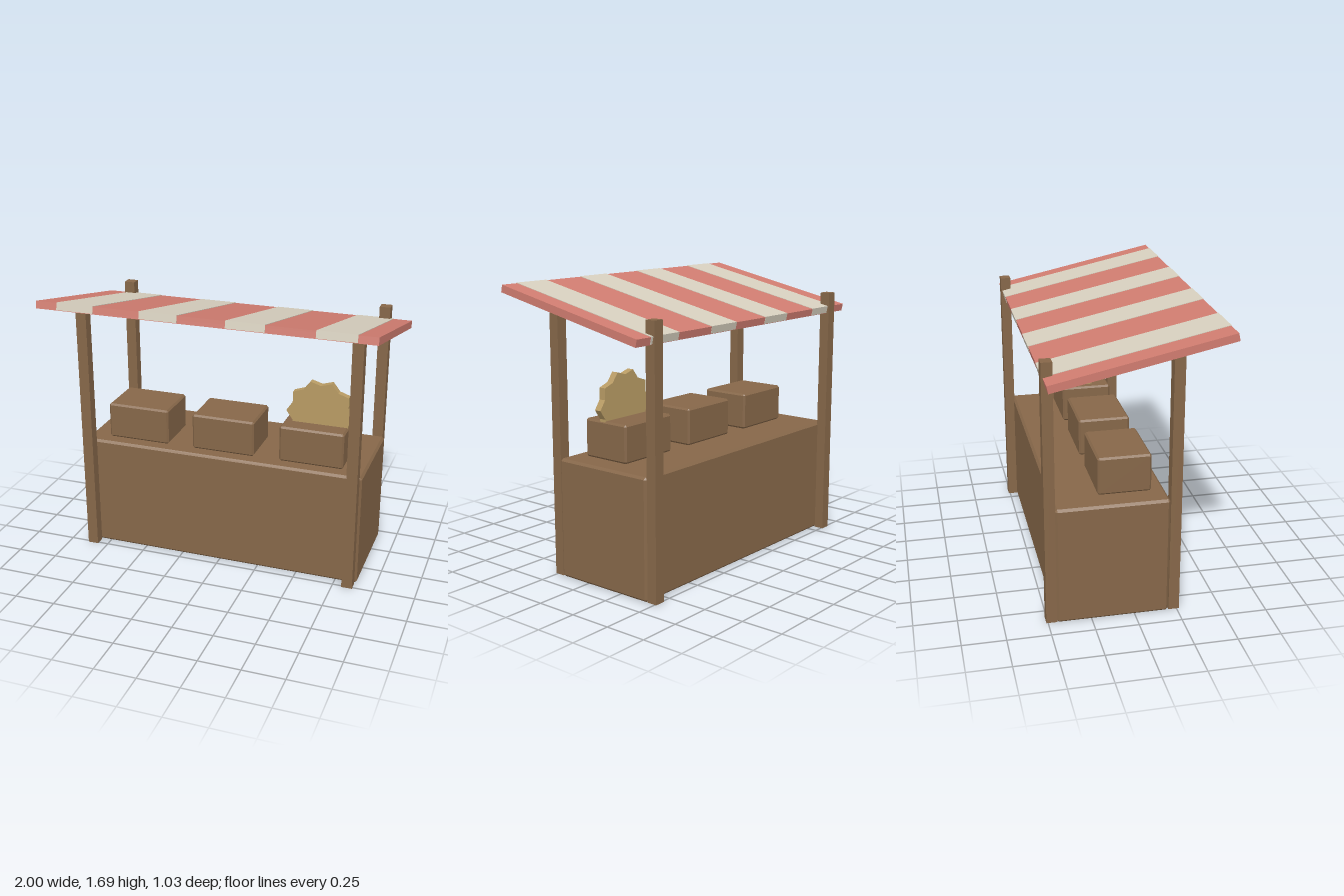
import * as THREE from 'three';
import { ConvexGeometry } from 'three/addons/geometries/ConvexGeometry.js';

function material(name, color) {
  const m = new THREE.MeshStandardMaterial({ color });
  m.name = name;
  return m;
}

// Box with chamfered edges: each face inset by c
function chamferBox(w, h, d, c) {
  const points = [];
  for (const sx of [-1, 1]) for (const sy of [-1, 1]) for (const sz of [-1, 1]) {
    const x = w / 2, y = h / 2, z = d / 2;
    points.push(
      new THREE.Vector3(sx * x, sy * (y - c), sz * (z - c)),
      new THREE.Vector3(sx * (x - c), sy * y, sz * (z - c)),
      new THREE.Vector3(sx * (x - c), sy * (y - c), sz * z));
  }
  return new ConvexGeometry(points);
}

export function createModel() {
  const wood = material('wood', 0x866749);
  const red = material('red cloth', 0xd07c70);
  const cream = material('cream cloth', 0xd6cfbe);
  const gold = material('gold', 0xb89b64);

  const model = new THREE.Group();
  model.name = 'marketStall';
  const add = (parent, name, geometry, mat, x, y, z) => {
    const mesh = new THREE.Mesh(geometry, mat);
    mesh.name = name;
    mesh.position.set(x, y, z);
    parent.add(mesh);
    return mesh;
  };

  // Counter and the crates on it
  add(model, 'counter', chamferBox(1.776, 0.71, 0.65, 0.014), wood, -0.003, 0.355, -0.126);
  for (const x of [-0.559, -0.003, 0.553])
    add(model, 'crate', chamferBox(0.396, 0.224, 0.308, 0.011), wood, x, 0.822, -0.034);

  // Four corner posts
  for (const x of [-0.846, 0.84]) for (const z of [0.233, -0.479])
    add(model, 'post', new THREE.BoxGeometry(0.066, 1.557, 0.062), wood, x, 0.7785, z);

  // Sloped awning: red slab with cream stripes wrapped over its top and edges
  const awning = new THREE.Group();
  awning.name = 'awning';
  awning.position.set(0, 1.558, 0.007);
  awning.rotation.x = -0.21;
  model.add(awning);
  add(awning, 'awningSlab', new THREE.BoxGeometry(2, 0.044, 1.028), red, 0, 0, 0);
  for (let i = 0; i < 4; i++)
    add(awning, 'awningStripe', new THREE.BoxGeometry(0.227, 0.044, 1.032), cream,
      -0.755 + i * 0.51, 0.003, 0);

  // Ten-pointed toothed disc standing in the crate
  const outline = [];
  for (let i = 0; i < 20; i++) {
    const r = i % 2 ? 0.18 : 0.21, a = i * Math.PI / 10;
    outline.push(new THREE.Vector2(r * Math.cos(a), r * Math.sin(a)));
  }
  const disc = new THREE.ExtrudeGeometry(new THREE.Shape(outline), { depth: 0.042, bevelEnabled: false });
  add(model, 'toothedDisc', disc, gold, 0.575, 1, -0.032);

  return model;
}
